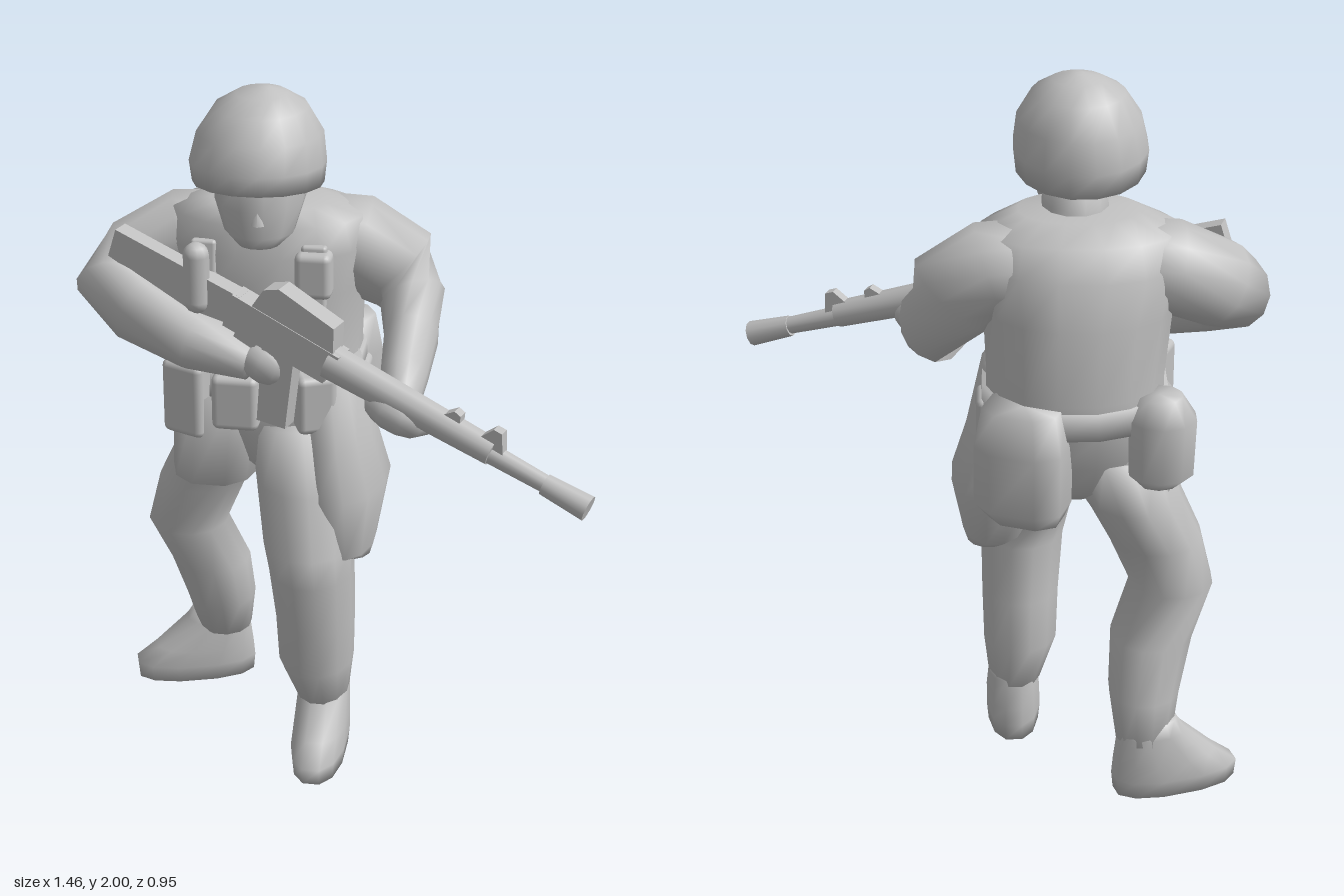
import * as THREE from 'three';
import { RoundedBoxGeometry } from 'three/addons/geometries/RoundedBoxGeometry.js';

const grey = new THREE.MeshStandardMaterial({ color: 0xc0c0c0 });
grey.name = 'plain grey';

// Closed skin through elliptical rings [x, y, z, halfWidth, halfDepth].
// Level rings run bottom to top; otherwise rings stand square to the path.
function loft(rings, { level = true, sides = 12, power = 1 } = {}) {
  const centres = rings.map(r => new THREE.Vector3(r[0], r[1], r[2]));
  const pos = [], index = [];
  const last = rings.length - 1;
  const ref = level ? new THREE.Vector3(0, 0, 1) : new THREE.Vector3(0, 1, 0);
  const soft = v => Math.sign(v) * Math.pow(Math.abs(v), power);
  rings.forEach((r, i) => {
    const T = level ? new THREE.Vector3(0, 1, 0)
      : centres[Math.min(i + 1, last)].clone().sub(centres[Math.max(i - 1, 0)]).normalize();
    const U = new THREE.Vector3().crossVectors(ref, T).normalize();
    const V = new THREE.Vector3().crossVectors(T, U);
    for (let j = 0; j < sides; j++) {
      const a = (j + 0.5) / sides * Math.PI * 2;
      const p = centres[i].clone()
        .addScaledVector(U, r[3] * soft(Math.cos(a)))
        .addScaledVector(V, r[4] * soft(Math.sin(a)));
      pos.push(p.x, p.y, p.z);
    }
  });
  for (let i = 0; i < last; i++) for (let j = 0; j < sides; j++) {
    const k = (j + 1) % sides, a = i * sides, b = a + sides;
    index.push(a + j, a + k, b + k, a + j, b + k, b + j);
  }
  const low = pos.length / 3, top = last * sides;
  pos.push(...centres[0].toArray(), ...centres[last].toArray());
  for (let j = 0; j < sides; j++) {
    const k = (j + 1) % sides;
    index.push(low, k, j, low + 1, top + j, top + k);
  }
  const g = new THREE.BufferGeometry();
  g.setAttribute('position', new THREE.Float32BufferAttribute(pos, 3));
  g.setIndex(index);
  g.computeVertexNormals();
  return g;
}

function add(parent, name, geometry, at = [0, 0, 0], rot = [0, 0, 0]) {
  const m = new THREE.Mesh(geometry, grey);
  m.name = name;
  m.position.set(...at);
  m.rotation.set(...rot);
  parent.add(m);
  return m;
}

const pouch = (w, h, d, r = 0.02) => new RoundedBoxGeometry(w, h, d, 2, r);

// Side outline [along, up] extruded to a thickness about the rifle's mid plane
function plate(points, thick) {
  const s = new THREE.Shape(points.map(p => new THREE.Vector2(...p)));
  return new THREE.ExtrudeGeometry(s, { depth: thick, bevelEnabled: false }).translate(0, 0, -thick / 2);
}

function makeRifle() {
  const rifle = new THREE.Group();
  rifle.name = 'rifle';
  const X = new THREE.Vector3(1.34, -0.47, 0.45).normalize();
  const Z = X.clone().cross(new THREE.Vector3(0, 1, 0)).normalize();
  const Y = Z.clone().cross(X);
  rifle.quaternion.setFromRotationMatrix(new THREE.Matrix4().makeBasis(X, Y, Z));
  rifle.position.set(-0.615, 1.53, -0.005);
  const rod = (r1, r2, len) => new THREE.CylinderGeometry(r2, r1, len, 10).rotateZ(-Math.PI / 2);
  add(rifle, 'stock', plate([[0, -0.09], [0.05, -0.09], [0.4, -0.03], [0.4, 0.06], [0, 0.055]], 0.05));
  add(rifle, 'receiver', plate([[0.38, -0.04], [0.7, -0.045], [0.72, 0.05], [0.38, 0.06]], 0.065));
  add(rifle, 'carryHandle', plate([[0.44, 0.05], [0.46, 0.12], [0.5, 0.145], [0.68, 0.12], [0.7, 0.05]], 0.06));
  add(rifle, 'magazine', plate([[0.5, -0.03], [0.6, -0.03], [0.64, -0.24], [0.555, -0.26]], 0.05));
  add(rifle, 'pistolGrip', plate([[0.42, -0.02], [0.49, -0.02], [0.47, -0.13], [0.41, -0.12]], 0.045));
  add(rifle, 'handguard', rod(0.05, 0.038, 0.5), [0.94, 0.008, 0]);
  add(rifle, 'barrel', rod(0.03, 0.023, 0.3), [1.28, 0.002, 0]);
  add(rifle, 'muzzle', rod(0.03, 0.036, 0.13), [1.415, 0, 0]);
  add(rifle, 'frontSight', plate([[1.12, 0], [1.23, 0], [1.2, 0.08], [1.175, 0.08]], 0.03));
  add(rifle, 'sightBlock', plate([[1.02, 0.03], [1.09, 0.02], [1.08, 0.065], [1.06, 0.07]], 0.03));
  return rifle;
}

export function createModel() {
  const model = new THREE.Group();
  model.name = 'soldier';

  // Helmet, its rim dipping at the back
  const dome = loft([
    [-0.215, 1.775, 0, 0.13, 0.14], [-0.215, 1.74, 0.01, 0.175, 0.19],
    [-0.215, 1.8, 0.01, 0.182, 0.2], [-0.21, 1.88, 0, 0.168, 0.183],
    [-0.207, 1.95, 0, 0.125, 0.135], [-0.205, 1.985, 0, 0.07, 0.07], [-0.2, 2, 0, 0.02, 0.02],
  ], { sides: 16 });
  const p = dome.attributes.position;
  for (let i = 0; i < p.count; i++) p.setY(i, p.getY(i) + 0.14 * p.getZ(i) * (2 - p.getY(i)) / 0.26);
  dome.computeVertexNormals();
  add(model, 'helmet', dome);

  // Head and neck
  add(model, 'head', loft([
    [-0.2, 1.6, 0.1, 0.055, 0.045], [-0.2, 1.635, 0.075, 0.095, 0.09], [-0.205, 1.71, 0.03, 0.122, 0.138],
    [-0.205, 1.78, 0.015, 0.127, 0.15], [-0.205, 1.85, 0, 0.12, 0.13],
  ]));
  add(model, 'nose', new THREE.ConeGeometry(0.02, 0.06, 6), [-0.19, 1.705, 0.155]);
  add(model, 'neck', loft([[-0.2, 1.55, -0.09, 0.11, 0.11], [-0.2, 1.67, -0.045, 0.09, 0.11], [-0.2, 1.76, -0.02, 0.09, 0.11]]));

  // Torso leaning forward
  add(model, 'torso', loft([
    [-0.2, 0.86, -0.12, 0.09, 0.1], [-0.2, 0.92, -0.13, 0.18, 0.18], [-0.2, 1.02, -0.14, 0.24, 0.22],
    [-0.2, 1.12, -0.145, 0.25, 0.24], [-0.2, 1.22, -0.155, 0.24, 0.24], [-0.205, 1.42, -0.145, 0.255, 0.23],
    [-0.21, 1.54, -0.13, 0.285, 0.205], [-0.21, 1.62, -0.12, 0.265, 0.17], [-0.205, 1.66, -0.09, 0.16, 0.12],
  ], { sides: 16, power: 0.93 }));
  add(model, 'belt', loft([[-0.2, 1.12, -0.145, 0.257, 0.247], [-0.2, 1.2, -0.15, 0.252, 0.247]], { sides: 16, power: 0.93 }));
  add(model, 'jacketSkirt', loft([[-0.355, 0.86, -0.12, 0.13, 0.22], [-0.335, 1.12, -0.12, 0.14, 0.21]], { power: 0.75 }));

  // Arms, shoulder to wrist
  add(model, 'rightArm', loft([
    [-0.3, 1.53, -0.14, 0.14, 0.115], [-0.45, 1.515, -0.14, 0.135, 0.125], [-0.58, 1.45, -0.1, 0.115, 0.12],
    [-0.63, 1.4, -0.03, 0.105, 0.11], [-0.55, 1.36, 0.03, 0.09, 0.105],
    [-0.38, 1.3, 0.09, 0.08, 0.085], [-0.22, 1.27, 0.13, 0.055, 0.055],
  ], { level: false }));
  add(model, 'leftArm', loft([
    [-0.14, 1.53, -0.15, 0.14, 0.12], [0.03, 1.515, -0.16, 0.13, 0.13], [0.13, 1.445, -0.165, 0.11, 0.135],
    [0.18, 1.36, -0.16, 0.09, 0.11], [0.195, 1.3, -0.02, 0.075, 0.09],
    [0.195, 1.25, 0.12, 0.065, 0.07], [0.2, 1.22, 0.23, 0.05, 0.05],
  ], { level: false }));
  const hand = new THREE.SphereGeometry(1, 10, 8);
  add(model, 'rightHand', hand, [-0.17, 1.27, 0.14], [0, 0, -0.3]).scale.set(0.08, 0.06, 0.055);
  add(model, 'leftHand', hand, [0.2, 1.215, 0.26], [0, -0.3, -0.3]).scale.set(0.105, 0.06, 0.07);

  // Legs
  add(model, 'rightLeg', loft([
    [-0.4, 0.17, -0.315, 0.08, 0.085], [-0.4, 0.3, -0.275, 0.1, 0.12], [-0.42, 0.45, -0.23, 0.115, 0.12],
    [-0.475, 0.6, -0.19, 0.116, 0.124], [-0.425, 0.75, -0.2, 0.13, 0.145],
    [-0.36, 0.88, -0.19, 0.135, 0.18], [-0.31, 1.02, -0.16, 0.14, 0.19],
  ]));
  add(model, 'leftLeg', loft([
    [-0.045, 0.17, 0.015, 0.075, 0.1], [-0.06, 0.3, 0.035, 0.107, 0.137], [-0.06, 0.45, 0.05, 0.112, 0.142],
    [-0.065, 0.62, 0.08, 0.12, 0.149], [-0.075, 0.7, 0.07, 0.127, 0.147],
    [-0.095, 0.88, 0, 0.137, 0.178], [-0.12, 1.05, -0.08, 0.14, 0.2],
  ]));
  add(model, 'thighCover', loft([
    [0.03, 0.63, -0.01, 0.06, 0.06], [0.015, 0.68, 0, 0.09, 0.15], [0, 0.86, -0.045, 0.137, 0.21],
    [-0.02, 1.0, -0.055, 0.115, 0.18], [-0.04, 1.21, -0.06, 0.09, 0.14],
  ]));

  // Boots share one shape, the right one turned out
  const boot = loft([
    [0, 0, 0.085, 0.075, 0.18], [0, 0.05, 0.085, 0.08, 0.185], [0, 0.1, 0.055, 0.078, 0.15],
    [0, 0.19, 0.012, 0.073, 0.095], [0, 0.23, 0.012, 0.06, 0.07],
  ], { power: 0.85 });
  add(model, 'leftBoot', boot, [-0.042, 0, 0]);
  add(model, 'rightBoot', boot, [-0.41, 0, -0.325], [0, -1.27, 0]);

  // Packs and pouches round the belt
  add(model, 'hipPack', loft([
    [0, 0.87, 0.03, 0.1, 0.08], [0, 0.93, -0.005, 0.128, 0.1], [0, 1.1, -0.005, 0.128, 0.1],
    [0, 1.21, 0, 0.108, 0.09],
  ], { sides: 8, power: 0.75 }), [-0.06, 0, -0.355], [0, -0.35, 0]);
  add(model, 'canteen', loft([
    [-0.42, 0.96, -0.3, 0.06, 0.06], [-0.425, 1.0, -0.32, 0.09, 0.085], [-0.425, 1.16, -0.32, 0.095, 0.09],
    [-0.42, 1.22, -0.31, 0.06, 0.06],
  ], { sides: 10 }));
  add(model, 'rightBeltPouch', pouch(0.13, 0.22, 0.13), [-0.405, 1.11, 0.02], [0, -0.4, 0]);
  add(model, 'frontBeltPouch', pouch(0.13, 0.16, 0.08), [-0.27, 1.13, 0.09]);
  add(model, 'leftBeltPouch', pouch(0.11, 0.17, 0.1), [-0.06, 1.13, 0.06], [0, 0.4, 0]);
  add(model, 'sidePouch', pouch(0.07, 0.16, 0.12), [0.03, 1.08, -0.16]);

  // Chest gear
  add(model, 'chestPouch', pouch(0.1, 0.13, 0.07), [-0.06, 1.5, 0.05]);
  add(model, 'torch', new THREE.CapsuleGeometry(0.036, 0.13, 4, 10), [-0.37, 1.49, 0.1]);
  for (const side of [-1, 1])
    add(model, side < 0 ? 'rightStrap' : 'leftStrap', pouch(0.07, 0.32, 0.03, 0.01), [-0.21 + side * 0.15, 1.42, 0.06], [-0.12, 0, 0]);

  model.add(makeRifle());
  return model;
}
